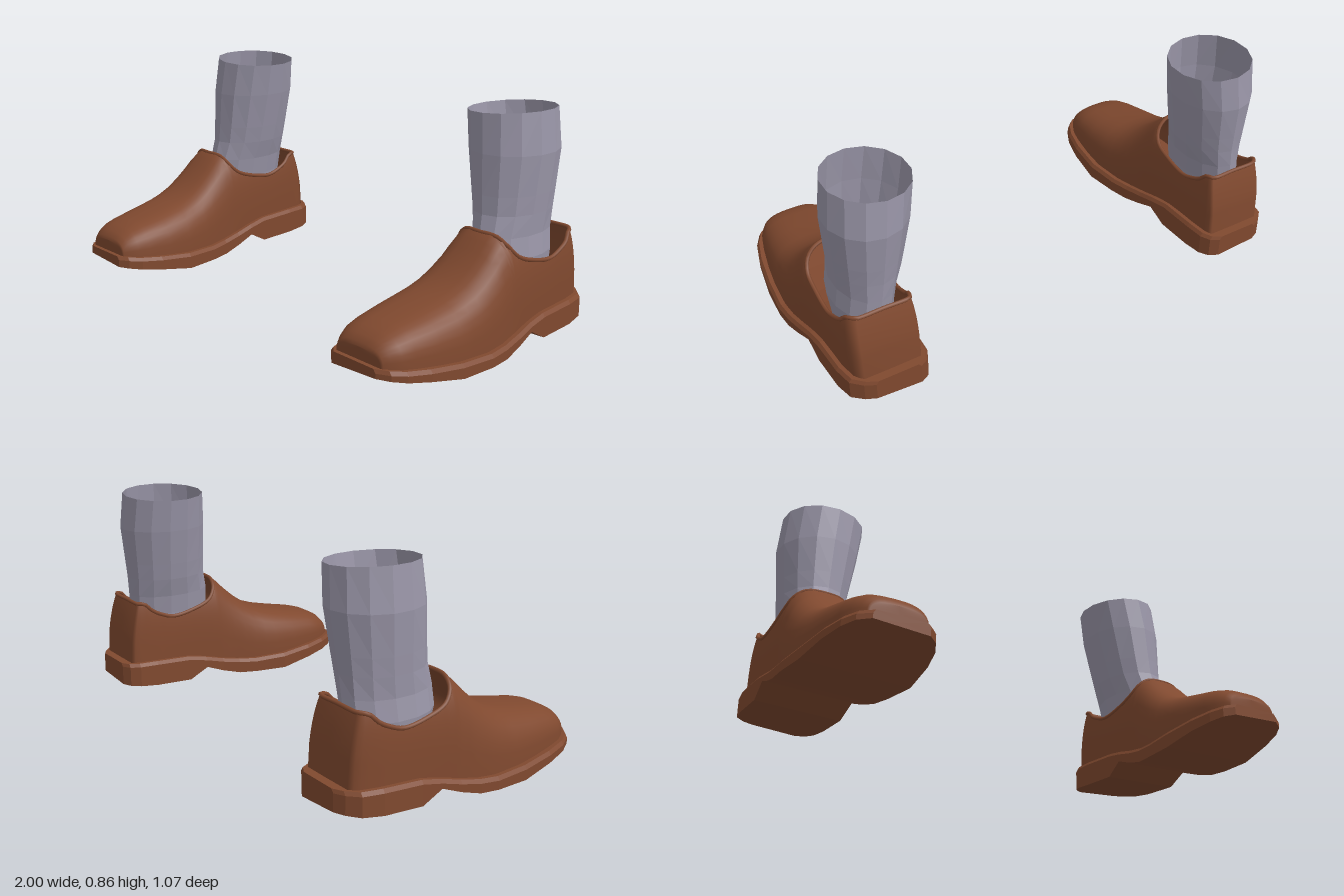
import * as THREE from 'three';
import { mergeVertices } from 'three/addons/utils/BufferGeometryUtils.js';

// Sole stations: z, inner x, outer x, top y, bottom y
const SOLE = [
  [0.53, 0.66, 0.87, 0.1, 0.055], [0.5, 0.625, 0.915, 0.097, 0.05], [0.45, 0.6, 0.945, 0.09, 0.04],
  [0.36, 0.58, 0.97, 0.08, 0.025], [0.22, 0.572, 0.99, 0.066, 0], [0.08, 0.59, 1, 0.063, 0.003],
  [0, 0.605, 0.995, 0.07, 0.008], [-0.08, 0.615, 0.985, 0.085, 0.03], [-0.16, 0.622, 0.975, 0.105, 0.06],
  [-0.24, 0.63, 0.97, 0.12, 0.015], [-0.4, 0.63, 0.965, 0.128, 0.022], [-0.48, 0.635, 0.95, 0.13, 0.03],
  [-0.52, 0.655, 0.91, 0.13, 0.034], [-0.54, 0.69, 0.87, 0.13, 0.036],
];
// Vamp stations: z, crest y
const VAMP = [
  [0.51, 0.145], [0.505, 0.16], [0.485, 0.18], [0.45, 0.198], [0.4, 0.213], [0.3, 0.233], [0.2, 0.256],
  [0.15, 0.273], [0.1, 0.297], [0.05, 0.333], [0, 0.378], [-0.03, 0.41], [-0.06, 0.435],
];
// Collar stations: z, rim y
const COLLAR = [
  [-0.07, 0.43], [-0.085, 0.4], [-0.12, 0.36], [-0.2, 0.33], [-0.3, 0.315], [-0.36, 0.333],
  [-0.4, 0.355], [-0.44, 0.38], [-0.47, 0.388], [-0.49, 0.39], [-0.505, 0.39],
];
// Sock rings: y, x range, z range
const SOCK = [
  [0.22, 0.69, 0.895, -0.43, -0.1], [0.32, 0.68, 0.905, -0.44, -0.075], [0.4, 0.668, 0.895, -0.445, -0.08],
  [0.48, 0.645, 0.9, -0.45, -0.1], [0.55, 0.63, 0.905, -0.458, -0.103], [0.7, 0.6, 0.915, -0.475, -0.107],
  [0.845, 0.58, 0.9, -0.465, -0.12],
];

// Linear sample of the sole table at a given z
function soleAt(z) {
  let i = 0;
  while (i < SOLE.length - 2 && SOLE[i + 1][0] > z) i++;
  const a = SOLE[i], b = SOLE[i + 1], t = (z - a[0]) / (b[0] - a[0]);
  return a.map((v, k) => v + (b[k] - v) * t);
}

// Skin a grid of points; side mirrors x and keeps the winding outward
function skin(rows, side, { closed = false, flat = false, skip = () => false } = {}) {
  const n = rows[0].length, index = [];
  for (let i = 0; i < rows.length - 1; i++) {
    for (let j = 0; j < (closed ? n : n - 1); j++) {
      if (skip(i, j)) continue;
      const k = (j + 1) % n;
      const a = i * n + j, b = i * n + k, c = b + n, d = a + n;
      if (side > 0) index.push(a, b, c, a, c, d);
      else index.push(a, c, b, a, d, c);
    }
  }
  let geo = new THREE.BufferGeometry();
  const pos = rows.flat().flatMap(([x, y, z]) => [x * side, y, z]);
  geo.setAttribute('position', new THREE.Float32BufferAttribute(pos, 3));
  geo.setIndex(index);
  geo = flat ? geo.toNonIndexed() : mergeVertices(geo, 1e-5);
  geo.computeVertexNormals();
  return geo;
}

// Thick sole with a bevelled welt, arch and heel block
function soleGeometry(side) {
  const rows = SOLE.map(([z, xi, xo, yt, yb]) => [
    [xi, yb, z], [xi, yt - 0.014, z], [xi + 0.01, yt, z],
    [xo - 0.01, yt, z], [xo, yt - 0.014, z], [xo, yb + 0.012, z],
  ]);
  const cap = ([z, xi, xo, yt, yb]) => Array(6).fill([(xi + xo) / 2, (yt + yb) / 2, z]);
  return skin([cap(SOLE[0]), ...rows, cap(SOLE[SOLE.length - 1])], side, { closed: true, flat: true });
}

// Arched cross-section, cut open at the rim behind the instep
const HALF = 10;
function upperRow(z, crest, rim, power, widthScale = 1) {
  const [, xi, xo, yt] = soleAt(z);
  const base = yt - 0.005, c = (xi + xo) / 2, w = ((xo - xi) / 2 - 0.026) * widthScale;
  const end = Math.asin(Math.min(1, ((rim - base) / (crest - base)) ** (1 / power)));
  const heel = Math.max(0, (-z - 0.4) / 0.105);
  const half = (s) => Array.from({ length: HALF }, (_, j) => {
    const a = end * j / (HALF - 1);
    const y = base + (crest - base) * Math.sin(a) ** power;
    const x = c + s * w * Math.max(0, Math.cos(a)) ** power;
    return [x, y, z + heel * 0.042 * ((y - base) / 0.26) ** 2];
  });
  return [...half(-1), ...half(1).reverse()];
}

function upperRows() {
  const rows = [upperRow(0.51, 0.145, 0.145, 0.7, 0)];
  VAMP.forEach(([z, y]) => rows.push(upperRow(z, y, y, 0.7)));
  COLLAR.forEach(([z, y], i) => rows.push(upperRow(z, 0.44 + 0.003 * i, y, 0.66 - 0.018 * i)));
  const [z, y] = COLLAR[COLLAR.length - 1];
  rows.push(upperRow(z - 0.001, 0.475, y, 0.46, 0));
  return rows;
}

// Rolled edge that follows the ankle opening
function rimGeometry(rows, side) {
  const open = rows.slice(VAMP.length);
  const inner = open.map((r) => r[HALF - 1]);
  const outer = open.slice(1, -1).map((r) => r[HALF]).reverse();
  const pts = [...inner, ...outer].map(([x, y, z]) => new THREE.Vector3(x * side, y - 0.004, z));
  const path = new THREE.CatmullRomCurve3(pts, true, 'centripetal');
  return new THREE.TubeGeometry(path, 72, 0.008, 6, true);
}

// Open sock, leaning towards the middle at the top
function sockGeometry(side) {
  const sides = 14;
  const rows = SOCK.map(([y, x0, x1, z0, z1], i) => Array.from({ length: sides }, (_, j) => {
    const a = (j / sides) * Math.PI * 2;
    const tilt = i === SOCK.length - 1 ? 0.011 * Math.sin(a) : 0;
    return [
      (x0 + x1) / 2 + Math.sin(a) * (x1 - x0) / 2,
      y + tilt,
      (z0 + z1) / 2 + Math.cos(a) * (z1 - z0) / 2,
    ];
  }));
  return skin(rows, side, { closed: true, flat: true });
}

export function createModel() {
  const leather = new THREE.MeshStandardMaterial({ color: 0x80492f, side: THREE.DoubleSide });
  leather.name = 'brown leather';
  const knit = new THREE.MeshStandardMaterial({ color: 0x9a96a8, side: THREE.DoubleSide });
  knit.name = 'grey knit';

  const model = new THREE.Group();
  model.name = 'shoesAndSocks';
  for (const side of [1, -1]) {
    const foot = new THREE.Group();
    foot.name = side > 0 ? 'leftFoot' : 'rightFoot';
    const add = (name, geometry, material) => {
      const mesh = new THREE.Mesh(geometry, material);
      mesh.name = name;
      foot.add(mesh);
    };
    const rows = upperRows();
    add('sole', soleGeometry(side), leather);
    // The gap between the two rims is left open for the ankle
    add('shoeUpper', skin(rows, side, { skip: (i, j) => j === HALF - 1 && i >= VAMP.length }), leather);
    add('collarRim', rimGeometry(rows, side), leather);
    add('sock', sockGeometry(side), knit);
    model.add(foot);
  }
  return model;
}
